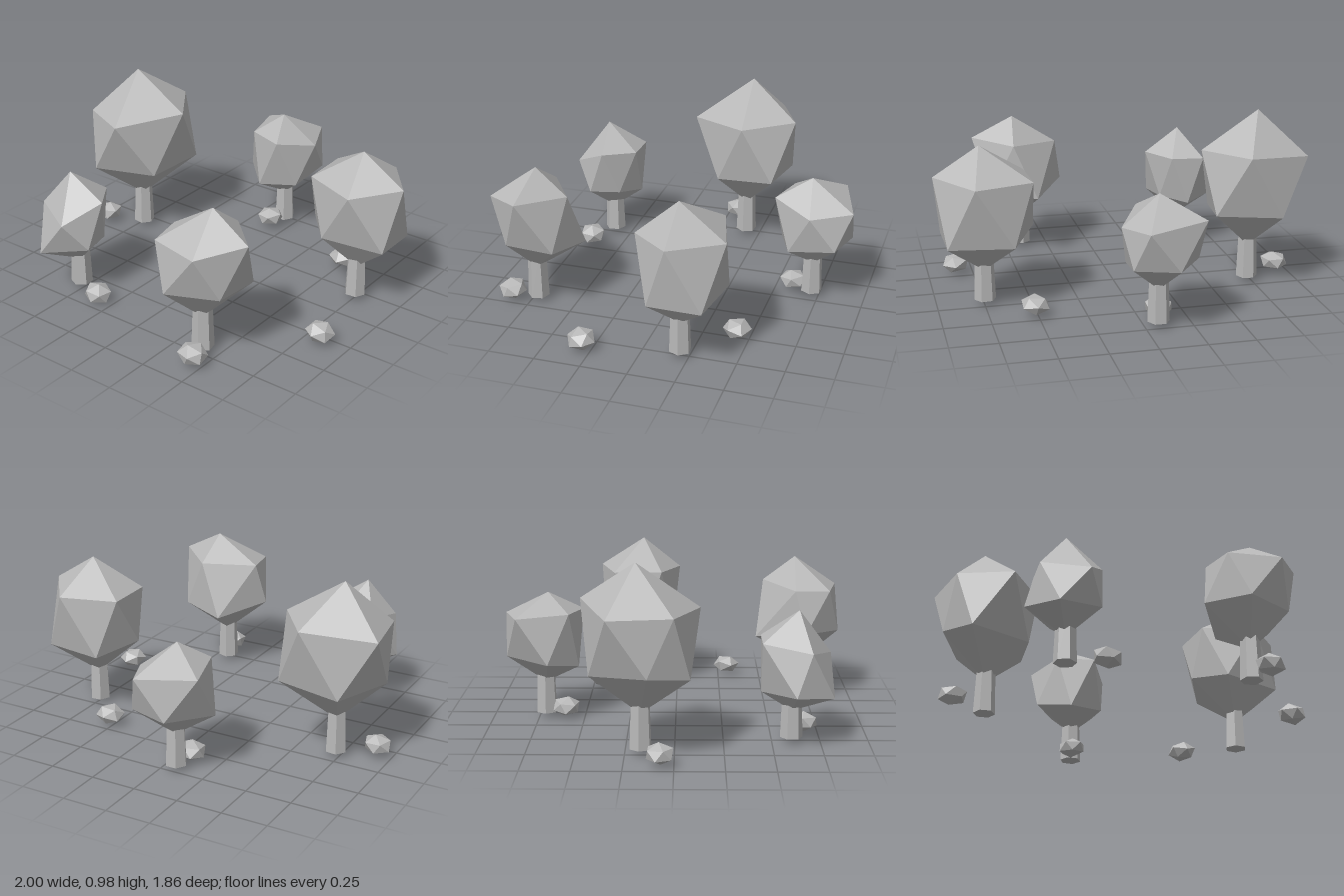
import * as THREE from 'three';

const stone = new THREE.MeshStandardMaterial({ color: 0xb8b8b8, flatShading: true });
stone.name = 'plain grey';

// Irregular twenty-sided crown: a top, a ring of five, a staggered ring of five, a bottom
function crownGeometry(top, upper, lower, bottom) {
  const positions = [];
  const face = (...corners) => corners.forEach((c) => positions.push(...c));
  for (let i = 0; i < 5; i++) {
    const j = (i + 1) % 5;
    face(top, upper[j], upper[i]);
    face(upper[i], upper[j], lower[i]);
    face(lower[i], upper[j], lower[j]);
    face(lower[i], lower[j], bottom);
  }
  const geometry = new THREE.BufferGeometry();
  geometry.setAttribute('position', new THREE.Float32BufferAttribute(positions, 3));
  geometry.computeVertexNormals();
  return geometry;
}

// Tree standing at x, z: six-sided tapered trunk and faceted crown
function makeTree(name, { x, z, turn, base, top, upper, lower }) {
  const tree = new THREE.Group();
  tree.name = name;
  const trunk = new THREE.Mesh(new THREE.CylinderGeometry(0.048, 0.059, 0.3, 6), stone);
  trunk.name = 'trunk';
  trunk.position.set(x, 0.18, z);
  trunk.rotation.y = turn;
  const crown = new THREE.Mesh(crownGeometry(top, upper, lower, [x, base, z]), stone);
  crown.name = 'crown';
  tree.add(trunk, crown);
  return tree;
}

// Crown rings run round from +x towards +z
const trees = {
  tallTree: {
    x: -0.725, z: -0.17, turn: 0.4, base: 0.21, top: [-0.757, 0.98, -0.19],
    upper: [[-0.44, 0.775, -0.2], [-0.665, 0.74, 0.13], [-0.95, 0.74, 0], [-1, 0.74, -0.325], [-0.635, 0.78, -0.47]],
    lower: [[-0.53, 0.42, -0.04], [-0.87, 0.42, 0.08], [-0.98, 0.45, -0.13], [-0.835, 0.43, -0.42], [-0.48, 0.45, -0.37]],
  },
  rightTree: {
    x: 0.745, z: -0.2, turn: 0.6, base: 0.19, top: [0.757, 0.87, -0.2],
    upper: [[1, 0.715, -0.2], [0.8, 0.69, 0.015], [0.51, 0.7, -0.09], [0.5, 0.7, -0.365], [0.81, 0.7, -0.455]],
    lower: [[0.96, 0.38, -0.09], [0.63, 0.4, -0.02], [0.48, 0.42, -0.19], [0.61, 0.37, -0.42], [0.95, 0.37, -0.37]],
  },
  smallTree: {
    x: -0.525, z: 0.6, turn: 0.1, base: 0.17, top: [-0.54, 0.7, 0.63],
    upper: [[-0.34, 0.565, 0.61], [-0.46, 0.465, 0.8], [-0.69, 0.505, 0.69], [-0.65, 0.55, 0.44], [-0.46, 0.555, 0.44]],
    lower: [[-0.37, 0.31, 0.7], [-0.62, 0.26, 0.81], [-0.74, 0.29, 0.61], [-0.56, 0.28, 0.44], [-0.41, 0.31, 0.53]],
  },
  backTree: {
    x: -0.072, z: -0.71, turn: 0.5, base: 0.2, top: [-0.077, 0.7, -0.69],
    upper: [[0.125, 0.545, -0.72], [0, 0.595, -0.505], [-0.205, 0.6, -0.57], [-0.285, 0.59, -0.845], [0.03, 0.565, -0.935]],
    lower: [[0.075, 0.32, -0.6], [-0.13, 0.3, -0.525], [-0.29, 0.34, -0.68], [-0.13, 0.355, -0.915], [0.095, 0.36, -0.855]],
  },
  frontTree: {
    x: 0.41, z: 0.715, turn: 0.2, base: 0.2, top: [0.45, 0.81, 0.68],
    upper: [[0.685, 0.685, 0.71], [0.51, 0.64, 0.92], [0.235, 0.645, 0.865], [0.2, 0.65, 0.67], [0.47, 0.67, 0.5]],
    lower: [[0.59, 0.4, 0.81], [0.33, 0.4, 0.925], [0.16, 0.41, 0.73], [0.34, 0.36, 0.455], [0.6, 0.39, 0.545]],
  },
};

// Rocks: x, z, turn
const rocks = [
  [-0.92, -0.07, 0.3], [-0.335, 0.68, 1.1], [-0.1, -0.6, 2.0],
  [0.45, 0.85, 0.7], [0.515, -0.44, 1.6], [0.845, 0.3, 2.5],
];

export function createModel() {
  const model = new THREE.Group();
  model.name = 'grove';
  for (const [name, spec] of Object.entries(trees)) model.add(makeTree(name, spec));

  // Flattened, slightly tilted rocks between the trees
  rocks.forEach(([x, z, turn], i) => {
    const geometry = new THREE.IcosahedronGeometry(1, 0)
      .rotateZ(0.35 + i * 0.2).rotateY(turn).scale(0.08, 0.054, 0.078);
    const rock = new THREE.Mesh(geometry, stone);
    rock.name = 'rock';
    rock.position.set(x, i === 1 ? 0.055 : 0.067, z);
    rock.rotation.z = i % 2 ? -0.15 : 0.1;
    model.add(rock);
  });
  return model;
}
